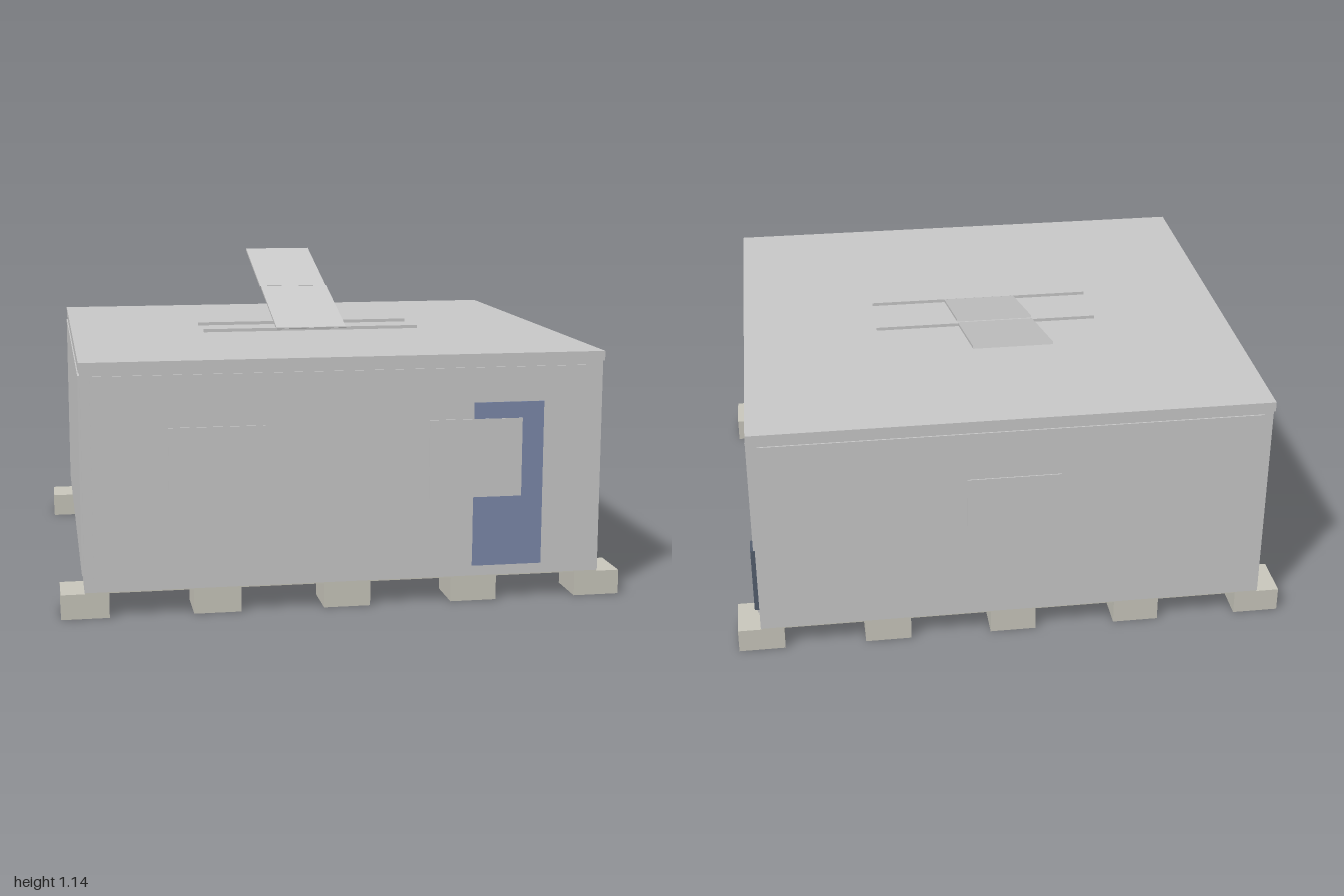
import * as THREE from 'three';

const material = (color) => new THREE.MeshStandardMaterial({ color });

export function createModel() {
  const model = new THREE.Group();
  const grey = material(0xcccccc);
  const concrete = material(0xcccabf);
  const blue = material(0x7e8bac);
  const slate = material(0x566070);

  // Box given by its lower and upper limits on each axis
  const box = (name, [x0, x1], [y0, y1], [z0, z1], mat = grey) => {
    const mesh = new THREE.Mesh(new THREE.BoxGeometry(x1 - x0, y1 - y0, z1 - z0), mat);
    mesh.position.set((x0 + x1) / 2, (y0 + y1) / 2, (z0 + z1) / 2);
    mesh.name = name;
    model.add(mesh);
    return mesh;
  };

  // Foundation blocks along the front and back
  for (let i = -2; i <= 2; i++) {
    const x = i * 0.458;
    for (const z of [-0.78, 0.78]) {
      box('foundationBlock', [x - 0.083, x + 0.083], [0, 0.088], [z - 0.085, z + 0.085], concrete);
    }
  }

  // Floor, walls and roof
  box('floor', [-0.915, 0.915], [0.088, 0.1], [-0.865, 0.865], concrete);
  box('wallCore', [-0.917, 0.917], [0.092, 0.86], [-0.866, 0.866]);
  box('roof', [-0.922, 0.922], [0.855, 0.89], [-0.872, 0.872]);

  // Thin cladding panel on each wall
  for (const s of [-1, 1]) {
    const side = [s * 0.91, s * 0.924].sort((a, b) => a - b);
    const end = [s * 0.86, s * 0.871].sort((a, b) => a - b);
    box('sideCladding', side, [0.145, 0.842], [-0.838, 0.838]);
    box('endCladding', [-0.885, 0.885], [0.145, 0.842], end);
  }

  // Door, with windows standing slightly proud of it
  box('door', [0.45, 0.702], [0.13, 0.718], [0.86, 0.8745]);
  model.children.at(-1).material = blue;
  for (const x of [-0.457, 0.457]) {
    box('frontWindow', [x - 0.167, x + 0.167], [0.38, 0.66], [0.86, 0.8765]);
  }
  box('backWindow', [-0.167, 0.167], [0.38, 0.66], [-0.875, -0.86]);

  // Utility cabinet on the left wall
  box('utilityCabinet', [0.915, 0.934], [0.157, 0.408], [-0.84, -0.77], slate);

  // Roof rails
  for (const z of [-0.113, 0.11]) {
    box('roofRail', [-0.42, 0.42], [0.888, 0.902], [z - 0.004, z + 0.004]);
  }

  // Two tilted roof panels in line
  const tilt = Math.atan2(0.123, 0.448);
  for (const [y, z] of [[0.956, -0.109], [1.077, -0.578]]) {
    const panel = new THREE.Mesh(new THREE.BoxGeometry(0.274, 0.009, 0.462), grey);
    panel.position.set(0, y, z);
    panel.rotation.x = tilt;
    panel.name = 'tiltedPanel';
    model.add(panel);
  }

  return model;
}
